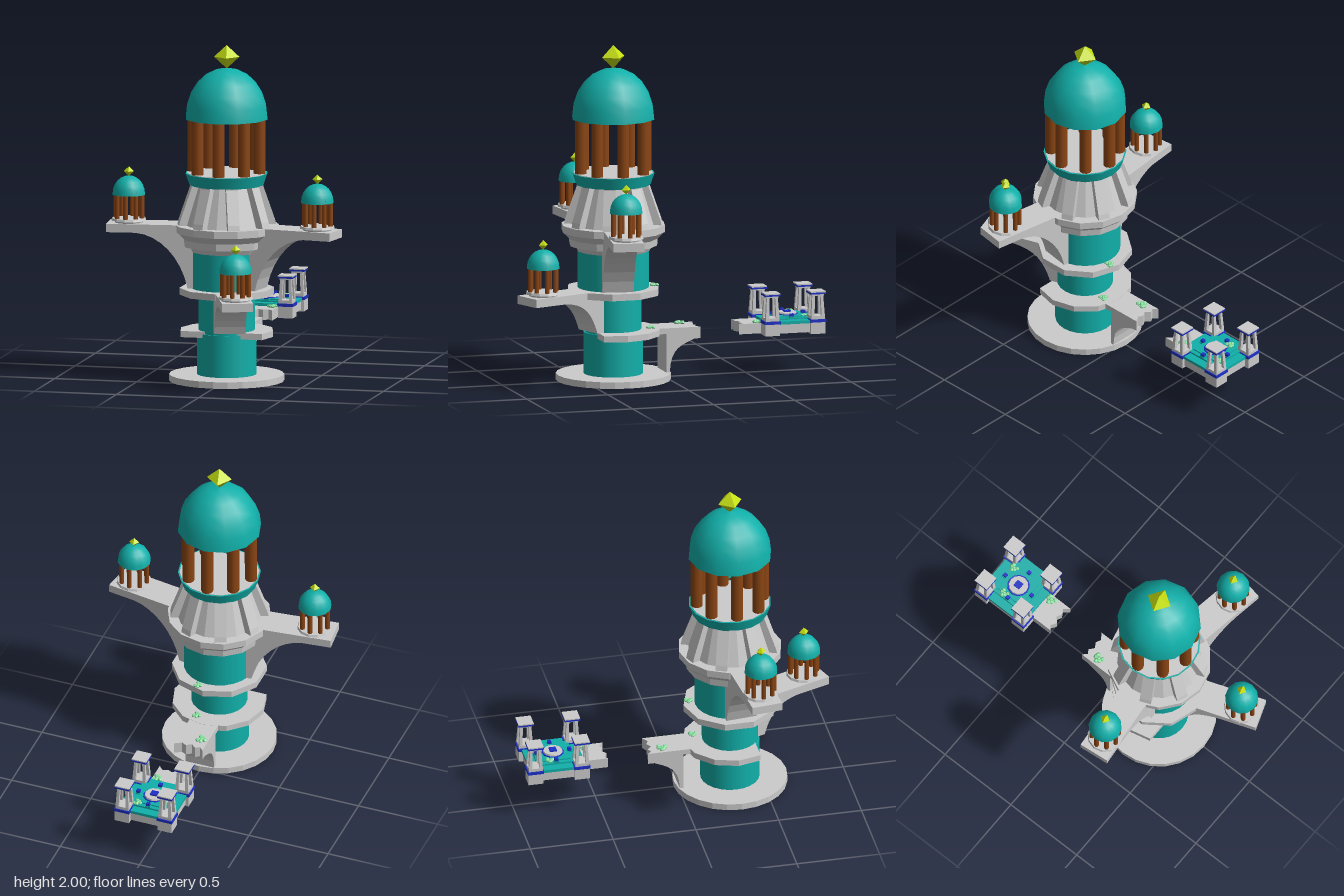
import * as THREE from 'three';

const AXIS_Z = 0.315; // tower axis
const mat = (color, flat = false, double = false) => new THREE.MeshStandardMaterial({
  color, flatShading: flat, side: double ? THREE.DoubleSide : THREE.FrontSide });
const GREY = mat(0xcccccc, true), TEAL = mat(0x11b0aa), TEAL_OPEN = mat(0x11b0aa, false, true);
const BROWN = mat(0x8b4513), GOLD = mat(0xc6e011, true), BLUE = mat(0x1c30c8, true);
const GREEN = mat(0x84dc9c, true), TEAL_FLAT = mat(0x11b0aa, true);

function add(parent, name, geometry, material, x = 0, y = 0, z = 0, turn = 0) {
  const m = new THREE.Mesh(geometry, material);
  m.name = name;
  m.position.set(x, y, z);
  m.rotation.y = turn;
  parent.add(m);
  return m;
}

function group(parent, name, x = 0, y = 0, z = 0, turn = 0) {
  const g = new THREE.Group();
  g.name = name;
  g.position.set(x, y, z);
  g.rotation.y = turn;
  parent.add(g);
  return g;
}

// Cylinder given by its bottom and top heights
function drum(parent, name, rBottom, rTop, y0, y1, sides, material) {
  return add(parent, name, new THREE.CylinderGeometry(rTop, rBottom, y1 - y0, sides), material, 0, (y0 + y1) / 2, 0);
}

function box(parent, name, w, h, d, material, x, y, z) {
  return add(parent, name, new THREE.BoxGeometry(w, h, d), material, x, y, z);
}

// Horizontal slab from plan points [x, z]
function slab(parent, name, points, y0, y1, material) {
  const shape = new THREE.Shape(points.map(([x, z]) => new THREE.Vector2(x, -z)));
  const geo = new THREE.ExtrudeGeometry(shape, { depth: y1 - y0, bevelEnabled: false });
  geo.rotateX(-Math.PI / 2);
  return add(parent, name, geo, material, 0, y0, 0);
}

// Side profile in (radius, height) extruded across the arm's width
function armMesh(parent, name, shape, width, turn) {
  const geo = new THREE.ExtrudeGeometry(shape, { depth: width, bevelEnabled: false, curveSegments: 8 });
  geo.translate(0, 0, -width / 2);
  return add(parent, name, geo, GREY, 0, 0, 0, turn);
}

// Level arm with a curved bracket below
function arm(parent, name, dx, dz, length, top, rCurve, rFoot, drop) {
  const s = new THREE.Shape();
  s.moveTo(rFoot - 0.03, top);
  s.lineTo(rFoot - 0.03, top - drop);
  s.lineTo(rFoot + 0.02, top - drop);
  s.bezierCurveTo(rFoot + 0.06, top - drop * 0.5, rCurve - 0.14, top - 0.06, rCurve, top - 0.05);
  s.lineTo(length, top - 0.05);
  s.lineTo(length, top);
  armMesh(parent, name, s, 0.185, Math.atan2(-dz, dx));
}

// Open pavilion: ring of pillars, dome and crystal
function pavilion(parent, r, ringR, pillarR, y0, yTop, domeY, domeH, crystalR, crystalH) {
  for (let i = 0; i < 8; i++) {
    const a = i * Math.PI / 4;
    const x = Math.sin(a) * ringR, z = Math.cos(a) * ringR;
    add(parent, 'pillar', new THREE.CylinderGeometry(pillarR, pillarR, yTop - y0, 10), BROWN, x, (y0 + yTop) / 2, z);
    const cap = add(parent, 'pillarCap', new THREE.SphereGeometry(pillarR, 10, 4, 0, Math.PI * 2, 0, Math.PI / 2), BROWN, x, yTop, z);
    cap.scale.y = 0.5;
  }
  const profile = [];
  for (let i = 0; i <= 6; i++) {
    const a = i / 6 * Math.PI / 2;
    profile.push(new THREE.Vector2(Math.max(0, r * Math.cos(a)), domeH * Math.sin(a)));
  }
  add(parent, 'dome', new THREE.LatheGeometry(profile, 12), TEAL_OPEN, 0, domeY, 0);
  const c = add(parent, 'crystal', new THREE.OctahedronGeometry(1), GOLD, 0, domeY + domeH + crystalH / 2 - 0.003, 0, 0.2);
  c.scale.set(crystalR, crystalH / 2, crystalR);
}

function smallTurret(parent, x, y, z) {
  const t = group(parent, 'turret', x, y, z);
  drum(t, 'turretFoot', 0.085, 0.09, 0, 0.015, 12, GREY);
  drum(t, 'turretFloor', 0.105, 0.1, 0.012, 0.026, 12, GREY);
  pavilion(t, 0.099, 0.08, 0.014, 0.02, 0.185, 0.165, 0.112, 0.03, 0.058);
}

// Tuft of leaves fanned around a centre
function plant(parent, x, y, z, s = 1) {
  const p = group(parent, 'plant', x, y, z);
  for (let i = 0; i < 6; i++) {
    const a = i * 2.4, r = 0.008 * s * Math.sqrt(i);
    const leaf = add(p, 'leaf', new THREE.IcosahedronGeometry(0.013 * s, 0), GREEN, Math.cos(a) * r, 0.007, Math.sin(a) * r * 1.5, a);
    leaf.scale.y = 0.7;
  }
}

function cornerTower(parent, x, z) {
  const t = group(parent, 'cornerTower', x, 0, z);
  box(t, 'towerFoot', 0.09, 0.07, 0.09, GREY, 0, 0.275, 0);
  box(t, 'towerBand', 0.097, 0.018, 0.097, BLUE, 0, 0.318, 0);
  box(t, 'towerPlinth', 0.084, 0.02, 0.084, GREY, 0, 0.336, 0);
  // four leaning posts
  for (const sx of [-1, 1]) for (const sz of [-1, 1]) {
    const geo = new THREE.BoxGeometry(0.02, 0.135, 0.02);
    const pos = geo.attributes.position;
    for (let i = 0; i < pos.count; i++) if (pos.getY(i) > 0) {
      pos.setX(i, pos.getX(i) * 0.8 - sx * 0.007);
      pos.setZ(i, pos.getZ(i) * 0.8 - sz * 0.007);
    }
    add(t, 'towerPost', geo, GREY, sx * 0.032, 0.41, sz * 0.032);
  }
  box(t, 'towerLintel', 0.074, 0.014, 0.074, GREY, 0, 0.474, 0);
  box(t, 'towerTrim', 0.094, 0.01, 0.094, BLUE, 0, 0.482, 0);
  box(t, 'towerRoof', 0.092, 0.008, 0.092, GREY, 0, 0.49, 0);
}

function gardenIsland(parent) {
  const g = group(parent, 'island', 0, 0, -0.755);
  box(g, 'islandSlab', 0.32, 0.055, 0.32, GREY, 0, 0.277, 0);
  box(g, 'islandFloor', 0.335, 0.018, 0.335, TEAL_FLAT, 0, 0.313, 0);
  box(g, 'step', 0.23, 0.012, 0.23, TEAL_FLAT, 0, 0.326, 0);
  box(g, 'step', 0.18, 0.01, 0.18, TEAL_FLAT, 0, 0.334, 0);
  for (const x of [-0.135, 0.135]) for (const z of [-0.14, 0.14]) cornerTower(g, x, z);
  // central fountain and its lamps
  drum(g, 'fountainRim', 0.068, 0.066, 0.335, 0.343, 12, BLUE);
  drum(g, 'fountain', 0.06, 0.056, 0.34, 0.352, 12, GREY);
  box(g, 'fountainStone', 0.042, 0.012, 0.042, BLUE, 0, 0.354, 0);
  for (const [x, z] of [[-0.1, 0], [0.1, 0], [0, 0.1], [0, -0.1]]) {
    box(g, 'lampFoot', 0.03, 0.01, 0.03, TEAL_FLAT, x, 0.334, z);
    box(g, 'lamp', 0.022, 0.018, 0.022, BLUE, x, 0.346, z);
  }
  plant(g, 0.07, 0.33, -0.09);
  plant(g, -0.09, 0.335, -0.035);
  plant(g, 0.06, 0.305, 0.2, 1.2);
  // broken end of the bridge
  slab(g, 'brokenBridge', [[-0.09, 0.15], [-0.09, 0.315], [-0.065, 0.295], [-0.03, 0.318], [0, 0.29],
    [0.03, 0.305], [0.06, 0.29], [0.09, 0.322], [0.09, 0.15]], 0.245, 0.306, GREY);
}

export function createModel() {
  const model = new THREE.Group();
  model.name = 'tower';
  const t = group(model, 'mainTower', 0, 0, AXIS_Z);

  // Foot and stacked shaft
  drum(t, 'baseDisc', 0.34, 0.34, 0.001, 0.04, 24, mat(0xcccccc, true));
  const foot = add(t, 'baseRing', new THREE.RingGeometry(0.165, 0.178, 24), TEAL_OPEN);
  foot.rotation.x = Math.PI / 2;
  drum(t, 'lowerShaft', 0.176, 0.176, 0.04, 0.29, 24, TEAL);
  drum(t, 'middleShaft', 0.166, 0.166, 0.29, 0.53, 24, TEAL);
  drum(t, 'upperShaft', 0.21, 0.21, 0.55, 0.79, 24, TEAL);

  // Balconies: the lower one wraps only the back and sides
  const plan = [];
  for (let i = 0; i <= 8; i++) {
    const a = THREE.MathUtils.degToRad(-28 + i * 29.5);
    plan.push([0.28 * Math.cos(a), -0.28 * Math.sin(a)]);
  }
  slab(t, 'lowerBalcony', plan, 0.268, 0.305, GREY);
  drum(t, 'upperBalcony', 0.28, 0.28, 0.515, 0.555, 10, GREY);

  // Cornice and tapered neck with ribs
  const cornice = [[0.2, 0.775], [0.215, 0.775], [0.23, 0.805], [0.262, 0.808], [0.265, 0.85], [0.3, 0.885],
    [0.308, 0.89], [0.308, 0.933], [0, 0.933]].map(p => new THREE.Vector2(...p));
  add(t, 'cornice', new THREE.LatheGeometry(cornice, 14), GREY);
  drum(t, 'neck', 0.25, 0.175, 0.93, 1.18, 16, GREY);
  const rib = new THREE.Shape([[0.15, 0.93], [0.29, 0.93], [0.282, 0.965], [0.212, 1.165], [0.212, 1.18], [0.13, 1.18]]
    .map(p => new THREE.Vector2(...p)));
  for (let i = 0; i < 8; i++) armMesh(t, 'rib', rib, 0.07, (i + 0.5) * Math.PI / 4);

  // Top pavilion
  drum(t, 'collar', 0.222, 0.245, 1.172, 1.24, 16, TEAL);
  drum(t, 'pavilionFloor', 0.236, 0.236, 1.23, 1.243, 16, GREY);
  pavilion(t, 0.249, 0.2, 0.036, 1.24, 1.595, 1.565, 0.3, 0.075, 0.14);

  // Side and front turrets on bracketed arms
  const arms = [
    ['rightArm', -0.58, 0.06, 0.705, 0.933, 0.53, 0.2, 0.375],
    ['leftArm', 0.575, 0.095, 0.7, 0.933, 0.53, 0.2, 0.375],
    ['frontArm', 0.175, 0.485, 0.635, 0.555, 0.42, 0.165, 0.25],
  ];
  for (const [name, dx, dz, length, top, rCurve, rFoot, drop] of arms) {
    arm(t, name, dx, dz, length, top, rCurve, rFoot, drop);
    smallTurret(t, dx, top, dz);
  }

  // Rear bracket ending in a broken bridge
  const b = new THREE.Shape();
  b.moveTo(0.2, 0.304);
  b.lineTo(0.2, 0.27);
  b.lineTo(0.3, 0.27);
  b.lineTo(0.3, 0.04);
  b.lineTo(0.322, 0.04);
  b.bezierCurveTo(0.325, 0.19, 0.4, 0.2, 0.475, 0.235);
  b.lineTo(0.475, 0.304);
  armMesh(t, 'rearBracket', b, 0.18, Math.PI / 2);
  slab(t, 'brokenBridge', [[-0.09, -0.46], [0.09, -0.46], [0.09, -0.51], [0.05, -0.485], [0.02, -0.5],
    [-0.01, -0.48], [-0.04, -0.505], [-0.065, -0.49], [-0.09, -0.515]], 0.235, 0.304, GREY);
  plant(t, -0.05, 0.305, -0.42, 1.2);
  plant(t, 0.06, 0.305, -0.21);
  plant(t, 0.04, 0.555, -0.24);

  gardenIsland(model);
  return model;
}
